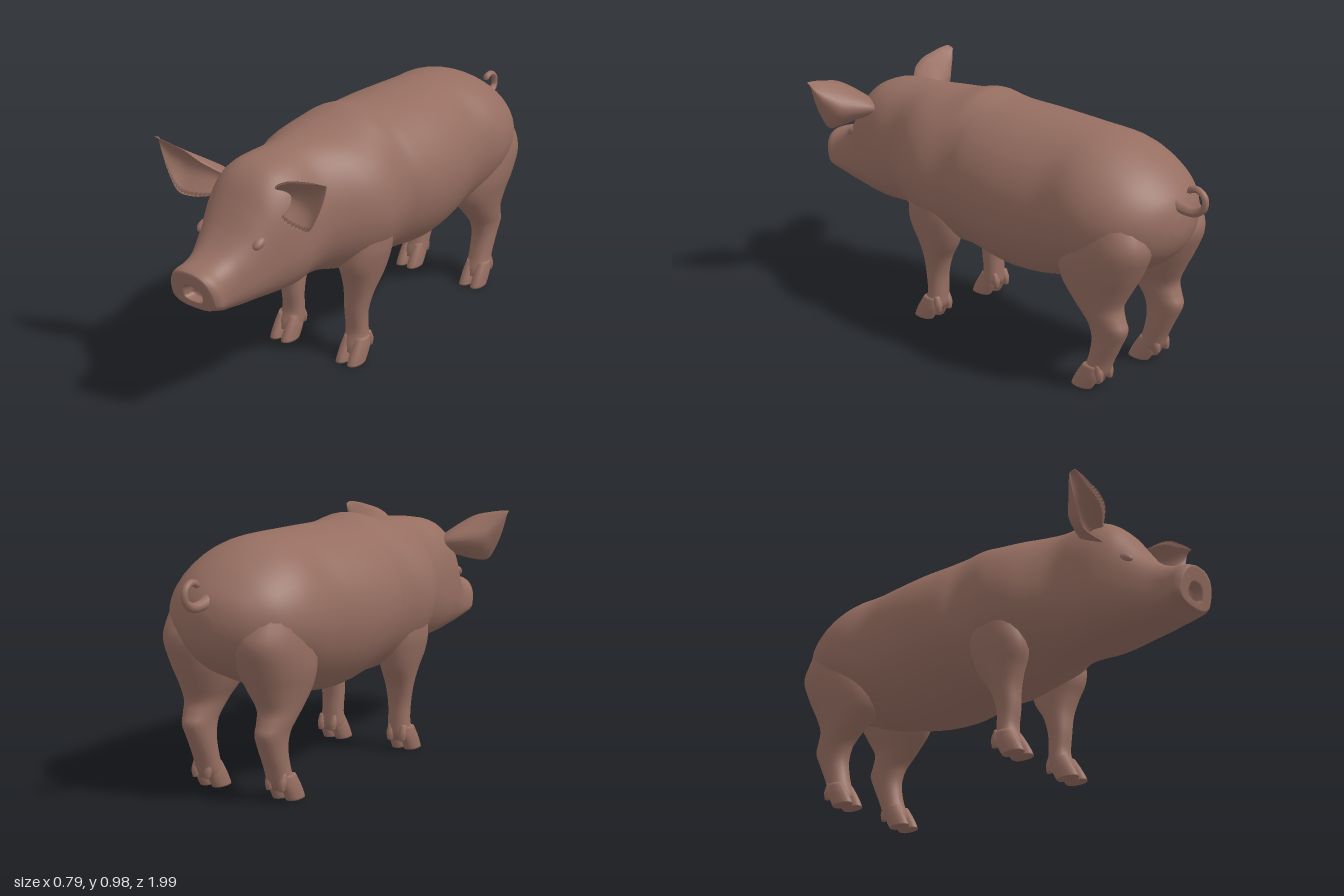
import * as THREE from 'three';

const skin = new THREE.MeshStandardMaterial({ color: 0x966e61 });
skin.name = 'brown skin';

// Smoothly resample rows of section measurements
function refine(rows, steps) {
  const cols = rows[0].length;
  const spline = new THREE.CubicInterpolant(rows.map((_, i) => i), rows.flat(), cols);
  const out = [];
  const n = (rows.length - 1) * steps;
  for (let i = 0; i <= n; i++) out.push(Array.from(spline.evaluate(i / steps)));
  return out;
}

// Closed, capped skin over rings of points
function loft(rings) {
  const n = rings[0].length, last = rings.length - 1;
  const pos = [], index = [];
  rings.forEach(r => r.forEach(p => pos.push(p.x, p.y, p.z)));
  for (let i = 0; i < last; i++) {
    for (let j = 0; j < n; j++) {
      const k = (j + 1) % n;
      const a = i * n + j, b = i * n + k, c = a + n, d = b + n;
      index.push(a, c, b, b, c, d);
    }
  }
  [0, last].forEach(i => {
    const mid = rings[i].reduce((s, p) => s.add(p), new THREE.Vector3()).divideScalar(n);
    const centre = pos.length / 3;
    pos.push(mid.x, mid.y, mid.z);
    for (let j = 0; j < n; j++) {
      const a = i * n + j, b = i * n + (j + 1) % n;
      if (i === 0) index.push(centre, a, b);
      else index.push(centre, b, a);
    }
  });
  const geo = new THREE.BufferGeometry();
  geo.setAttribute('position', new THREE.Float32BufferAttribute(pos, 3));
  geo.setIndex(index);
  geo.computeVertexNormals();
  return geo;
}

// Copy a geometry to the other side, keeping faces outward
function mirrored(geo) {
  const m = geo.clone().scale(-1, 1, 1);
  m.index.array.reverse();
  m.computeVertexNormals();
  return m;
}

function ring(n, fn) {
  return Array.from({ length: n }, (_, j) => fn(j / n * Math.PI * 2));
}

const rounded = (v, e) => Math.sign(v) * Math.abs(v) ** e;

// Upright loft, rows of [y, zFront, zBack, xInner, xOuter]
function limb(rows, n = 20, steps = 4) {
  return loft(refine(rows, steps).map(([y, zf, zb, xi, xo]) => ring(n, a => new THREE.Vector3(
    (xi + xo) / 2 + (xo - xi) / 2 * rounded(Math.cos(a), 0.9), y,
    (zf + zb) / 2 - (zf - zb) / 2 * rounded(Math.sin(a), 0.9)))));
}

// Head and trunk, rows of [z, top, bottom, halfWidth, yOfWidest]
function bodyGeometry() {
  const rows = refine([
    [1, 0.605, 0.455, 0.1, 0.5], [0.975, 0.614, 0.448, 0.113, 0.5], [0.93, 0.622, 0.43, 0.11, 0.51],
    [0.87, 0.648, 0.424, 0.118, 0.52], [0.81, 0.705, 0.42, 0.138, 0.54], [0.75, 0.79, 0.417, 0.16, 0.57],
    [0.7, 0.86, 0.412, 0.178, 0.6], [0.64, 0.902, 0.408, 0.195, 0.62], [0.56, 0.918, 0.403, 0.203, 0.63],
    [0.47, 0.928, 0.4, 0.206, 0.64], [0.39, 0.935, 0.395, 0.24, 0.64], [0.3, 0.942, 0.37, 0.285, 0.65],
    [0.2, 0.953, 0.345, 0.306, 0.65], [0.1, 0.977, 0.334, 0.287, 0.65], [0.04, 0.97, 0.337, 0.288, 0.65],
    [-0.03, 0.958, 0.335, 0.308, 0.65], [-0.18, 0.957, 0.315, 0.317, 0.65], [-0.32, 0.957, 0.327, 0.303, 0.65],
    [-0.44, 0.957, 0.355, 0.282, 0.66], [-0.56, 0.949, 0.39, 0.297, 0.67], [-0.66, 0.92, 0.43, 0.286, 0.67],
    [-0.76, 0.865, 0.475, 0.242, 0.67], [-0.83, 0.803, 0.53, 0.17, 0.67], [-0.865, 0.755, 0.58, 0.1, 0.67],
    [-0.882, 0.7, 0.63, 0.035, 0.665],
  ], 4);
  const rings = rows.map(([z, top, bottom, w, mid]) => {
    const head = THREE.MathUtils.smoothstep(z, 0.4, 0.6);
    const tilt = 0.25 * THREE.MathUtils.smoothstep(z, 0.8, 1);
    const e = 1 - 0.2 * head;
    return ring(48, a => {
      const s = rounded(Math.sin(a), e);
      const y = mid + s * (s > 0 ? top - mid : mid - bottom);
      return new THREE.Vector3(w * rounded(Math.cos(a), e), y, z + tilt * (y - 0.605));
    });
  });
  // Snout disc with a hollow in the middle
  const inset = (k, depth) => rings0.map(p => new THREE.Vector3(
    p.x * k, 0.505 + (p.y - 0.505) * k, 0.975 + (p.z - 0.975) * k - depth));
  const rings0 = rings[0];
  return loft([inset(0.3, 0.045), inset(0.38, 0.035), inset(0.43, 0.004), inset(0.5, 0),
    inset(0.92, 0), ...rings]);
}

// Cupped ear, rows of [topX, topY, bottomX, bottomY, rimZ, depth, thickness]
function earGeometry() {
  const rows = refine([
    [0.12, 0.84, 0.13, 0.77, 0.66, 0.06, 0.04], [0.18, 0.89, 0.175, 0.75, 0.715, 0.12, 0.04],
    [0.24, 0.922, 0.25, 0.736, 0.728, 0.11, 0.03], [0.3, 0.936, 0.31, 0.742, 0.73, 0.085, 0.025],
    [0.34, 0.943, 0.348, 0.8, 0.732, 0.055, 0.02], [0.37, 0.946, 0.375, 0.865, 0.732, 0.032, 0.014],
    [0.392, 0.946, 0.394, 0.93, 0.732, 0.012, 0.008],
  ], 4);
  return loft(rows.map(([tx, ty, bx, by, z, depth, thick]) => ring(28, a => {
    const back = a < Math.PI;
    const k = back ? a / Math.PI : 2 - a / Math.PI;
    const bulge = Math.sin(Math.PI * k) * (back ? depth : depth - thick);
    return new THREE.Vector3(tx + (bx - tx) * k, ty + (by - ty) * k, z - 0.025 * k - bulge);
  })));
}

// Curled tail, tapering to the tip
function tailGeometry() {
  const curve = new THREE.CatmullRomCurve3([
    [0, 0.755, -0.83], [0, 0.738, -0.89], [0, 0.738, -0.94], [0, 0.765, -0.978], [0, 0.803, -0.977],
    [0, 0.825, -0.945], [0, 0.815, -0.913], [0, 0.795, -0.917],
  ].map(p => new THREE.Vector3(...p)));
  const segs = 40, sides = 10;
  const geo = new THREE.TubeGeometry(curve, segs, 0.026, sides);
  const p = geo.attributes.position, v = new THREE.Vector3();
  for (let i = 0; i < p.count; i++) {
    const t = Math.floor(i / (sides + 1)) / segs;
    const shrink = t > 0.97 ? 1 : 0.5 * Math.min(1, t * 1.8);
    v.fromBufferAttribute(p, i).lerp(curve.getPointAt(t), shrink);
    p.setXYZ(i, v.x, v.y, v.z);
  }
  geo.computeVertexNormals();
  return geo;
}

export function createModel() {
  const pig = new THREE.Group();
  pig.name = 'pig';
  const add = (name, geo) => {
    const mesh = new THREE.Mesh(geo, skin);
    mesh.name = name;
    pig.add(mesh);
  };
  const addPair = (name, geo) => {
    add('left' + name, geo);
    add('right' + name, mirrored(geo));
  };

  add('body', bodyGeometry());
  add('tail', tailGeometry());
  addPair('Ear', earGeometry());

  // Eyelids, half sunk in the face
  const eye = new THREE.SphereGeometry(1, 16, 12).scale(0.02, 0.018, 0.032);
  addPair('Eye', eye.rotateX(0.5).translate(0.132, 0.672, 0.765));

  addPair('FrontLeg', limb([
    [0.64, 0.3, 0.1, 0.1, 0.27], [0.5, 0.325, 0.085, 0.1, 0.276], [0.42, 0.328, 0.09, 0.1, 0.262],
    [0.35, 0.3, 0.115, 0.104, 0.242], [0.28, 0.279, 0.16, 0.108, 0.222], [0.2, 0.274, 0.184, 0.113, 0.206],
    [0.12, 0.266, 0.185, 0.115, 0.206], [0.07, 0.284, 0.185, 0.114, 0.213], [0.04, 0.29, 0.205, 0.12, 0.21],
  ]));
  addPair('HindLeg', limb([
    [0.7, -0.52, -0.8, 0.05, 0.26], [0.6, -0.48, -0.848, 0.03, 0.276], [0.5, -0.46, -0.815, 0.03, 0.272],
    [0.42, -0.475, -0.775, 0.055, 0.254], [0.35, -0.535, -0.744, 0.09, 0.237], [0.3, -0.58, -0.757, 0.104, 0.225],
    [0.26, -0.606, -0.772, 0.11, 0.215], [0.2, -0.62, -0.746, 0.112, 0.208], [0.12, -0.606, -0.708, 0.114, 0.207],
    [0.07, -0.586, -0.69, 0.114, 0.213], [0.04, -0.58, -0.67, 0.12, 0.21],
  ]));

  // Cloven hooves and dewclaws
  for (const [name, dz] of [['Front', 0], ['Hind', -0.87]]) {
    for (const [side, x] of [['Inner', 0.139], ['Outer', 0.195]]) {
      addPair(name + side + 'Hoof', limb([
        [0.1, 0.268, 0.2, x - 0.02, x + 0.02], [0.06, 0.294, 0.2, x - 0.026, x + 0.026],
        [0.025, 0.314, 0.215, x - 0.027, x + 0.027], [0, 0.325, 0.23, x - 0.027, x + 0.027],
      ].map(([y, f, b, i, o]) => [y, f + dz, b + dz, i, o]), 14));
      addPair(name + side + 'Dewclaw', limb([
        [0.11, 0.21, 0.19, x - 0.012, x + 0.012], [0.075, 0.21, 0.176, x - 0.016, x + 0.016],
        [0.045, 0.2, 0.178, x - 0.01, x + 0.01],
      ].map(([y, f, b, i, o]) => [y, f + dz, b + dz, i, o]), 10));
    }
  }
  return pig;
}
